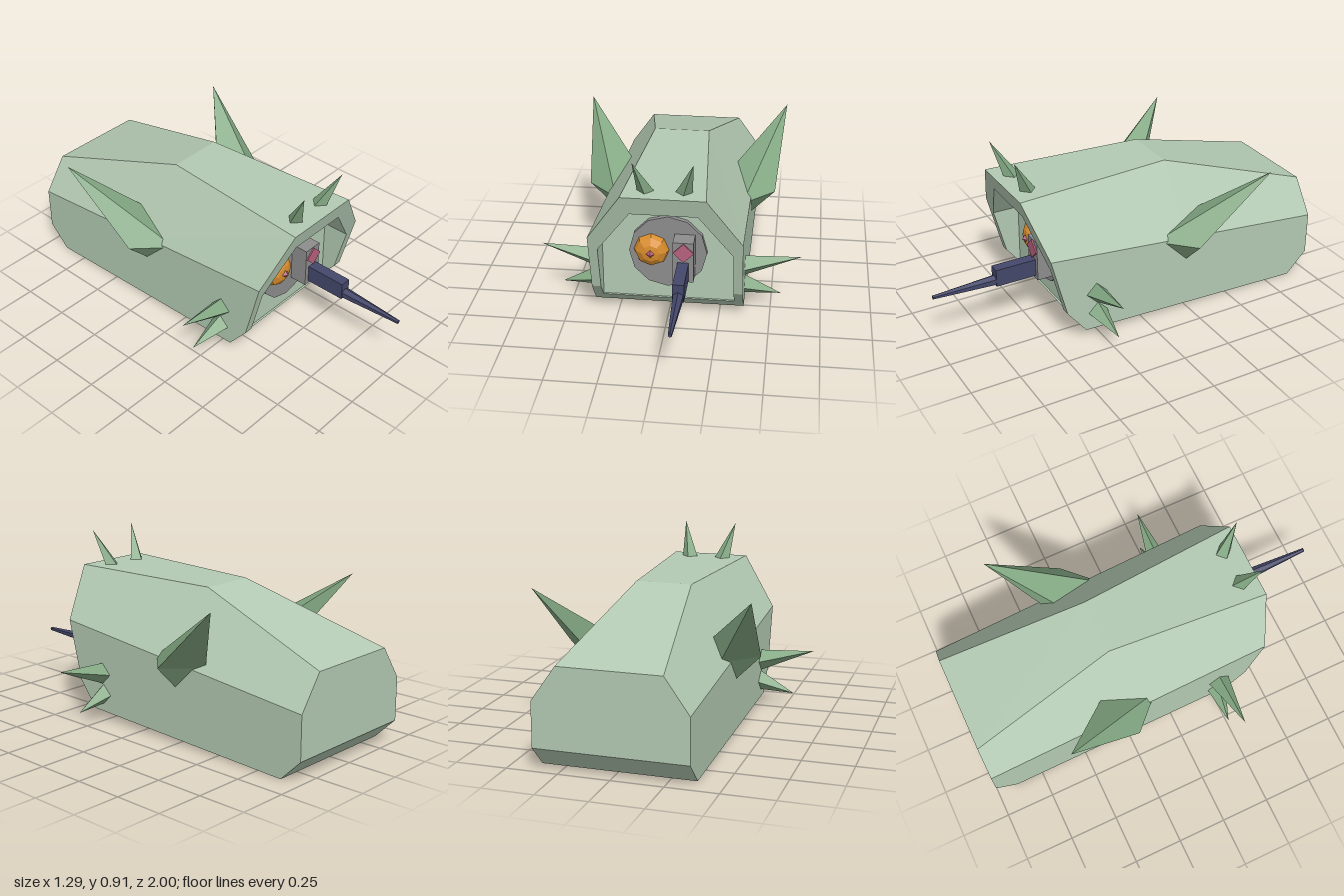
import * as THREE from 'three';

const paint = (name, color) => {
  const m = new THREE.MeshStandardMaterial({ color, flatShading: true });
  m.name = name;
  return m;
};

export function createModel() {
  const group = new THREE.Group();
  const green = paint('pale green', 0xb3cab3);
  const spikeGreen = paint('spike green', 0x84a984);
  const grey = paint('grey', 0x8c8d8c);
  const orange = paint('orange', 0xd98d2c);
  const pink = paint('pink', 0xb8607e);
  const navy = paint('dark navy', 0x44476a);

  const add = (name, geometry, material, x = 0, y = 0, z = 0) => {
    const mesh = new THREE.Mesh(geometry, material);
    mesh.name = name;
    mesh.position.set(x, y, z);
    group.add(mesh);
    return mesh;
  };

  // Hull: half sections (bottom, low, shoulder, top) mirrored into loops and lofted
  const rimZ = y => (y > 0.17 ? 0.43 + (y - 0.17) * 0.265 : 0.43 - (0.17 - y) * 0.8);
  const opening = [[0.325, 0.09], [0.325, 0.17], [0.325, 0.41], [0.16, 0.64]];
  const sections = [
    opening.map(([x, y]) => [x, y, 0.355]),
    opening.map(([x, y]) => [x, y, rimZ(y)]),
    [[0.37, 0.045, 0.33], [0.37, 0.17, 0.43], [0.37, 0.48, 0.512], [0.2, 0.735, 0.58]],
    [[0.37, 0.024, -0.24], [0.37, 0.14, -0.24], [0.37, 0.405, -0.24], [0.14, 0.735, -0.24]],
    [[0.37, 0, -0.89], [0.37, 0.11, -1], [0.37, 0.33, -1], [0.25, 0.5, -1]],
  ].map(half => [...half, ...half.map(([x, y, z]) => [-x, y, z]).reverse()]);

  const pos = [];
  const quad = (a, b, c, d) => pos.push(...a, ...b, ...c, ...a, ...c, ...d);
  for (let s = 0; s < sections.length - 1; s++) {
    const a = sections[s], b = sections[s + 1];
    for (let i = 0; i < 8; i++) {
      const j = (i + 1) % 8;
      quad(a[i], b[i], b[j], a[j]);
    }
  }
  // Recessed front panel and back end
  const panel = sections[0], back = sections[4];
  for (let i = 0; i < 3; i++) {
    quad(panel[i], panel[i + 1], panel[6 - i], panel[7 - i]);
    quad(back[i], back[7 - i], back[6 - i], back[i + 1]);
  }
  const hull = new THREE.BufferGeometry();
  hull.setAttribute('position', new THREE.Float32BufferAttribute(pos, 3));
  hull.computeVertexNormals();
  add('hull', hull, green);

  // Spikes: an octahedron with one corner (along axis) pulled out to a tip
  const spike = (name, center, r, axis, tip) => {
    for (const side of [1, -1]) {
      const geo = new THREE.OctahedronGeometry(r);
      const p = geo.attributes.position;
      const order = [0, 1, 2];
      for (let t = 0; t < p.count; t += 3) {
        const corners = order.map(k => {
          const v = new THREE.Vector3().fromBufferAttribute(p, t + k);
          if (v.getComponent(axis) > r * 0.9) v.set(...tip);
          else v.add(new THREE.Vector3(...center));
          v.x *= side;
          return v;
        });
        if (side < 0) corners.reverse(); // keep faces outward when mirrored
        corners.forEach((v, k) => p.setXYZ(t + k, v.x, v.y, v.z));
      }
      geo.computeVertexNormals();
      add((side > 0 ? 'left' : 'right') + name, geo, spikeGreen);
    }
  };
  spike('BackSpike', [0.33, 0.405, -0.24], 0.16, 1, [0.53, 0.75, -0.61]);
  spike('UpperSideSpike', [0.355, 0.24, 0.27], 0.057, 0, [0.645, 0.31, 0.278]);
  spike('LowerSideSpike', [0.355, 0.14, 0.265], 0.055, 0, [0.55, 0.083, 0.248]);
  spike('TopHorn', [0.085, 0.715, 0.48], 0.045, 1, [0.14, 0.91, 0.575]);

  // Round face plate
  const plate = new THREE.CylinderGeometry(0.19, 0.19, 0.04, 12).rotateX(Math.PI / 2);
  add('facePlate', plate, grey, 0, 0.355, 0.36);

  // Domed eye with faceted pupil
  const dome = new THREE.SphereGeometry(0.087, 8, 6).rotateX(Math.PI / 2).scale(1, 1, 0.65);
  add('eyeDome', dome, orange, -0.08, 0.365, 0.378);
  add('eyePupil', new THREE.OctahedronGeometry(0.04), pink, -0.08, 0.365, 0.412);

  // Weapon housing with diamond lens
  add('gunHousing', new THREE.BoxGeometry(0.1, 0.21, 0.11), grey, 0.083, 0.35, 0.415);
  const lens = new THREE.CylinderGeometry(0.05, 0.05, 0.008, 4).rotateX(Math.PI / 2);
  add('lens', lens, pink, 0.085, 0.403, 0.473);

  // Gun body and tapered barrel
  add('gunBody', new THREE.BoxGeometry(0.055, 0.09, 0.22), navy, 0.083, 0.305, 0.57);
  const barrel = new THREE.CylinderGeometry(0.01, 0.028, 0.32, 6).rotateX(Math.PI / 2);
  add('gunBarrel', barrel, navy, 0.083, 0.283, 0.84);

  return group;
}
